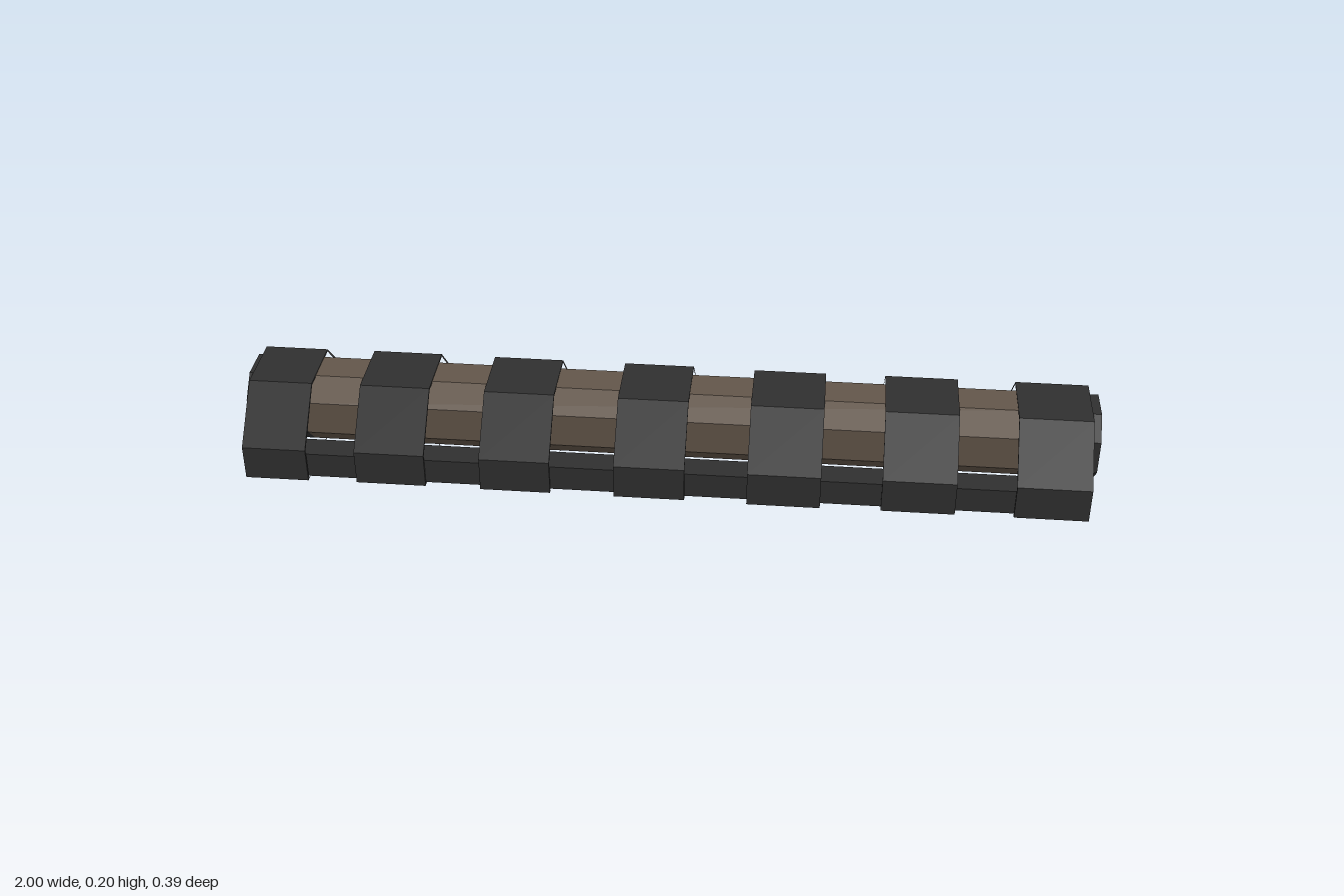
import * as THREE from 'three';

const dark = new THREE.MeshStandardMaterial({ name: 'darkMetal', color: 0x303030 });
const brown = new THREE.MeshStandardMaterial({ name: 'brownCore', color: 0x63564a });

// Sweep a [z, y] profile along x, from x0 to x1
const toPoints = (profile) => profile.map(([z, y]) => new THREE.Vector2(-z, y));
function sweep(name, profile, hole, x0, x1, material) {
  const shape = new THREE.Shape(toPoints(profile));
  if (hole) shape.holes.push(new THREE.Path(toPoints(hole)));
  const geometry = new THREE.ExtrudeGeometry(shape, { depth: x1 - x0, bevelEnabled: false });
  geometry.rotateY(Math.PI / 2).translate(x0, 0, 0);
  const mesh = new THREE.Mesh(geometry, material);
  mesh.name = name;
  return mesh;
}

// Mirror half a profile across z = 0
const mirrored = (half) => [...half, ...half.map(([z, y]) => [-z, y]).reverse()];

export function createModel() {
  const group = new THREE.Group();
  group.name = 'bandedRod';

  // Eight-sided core with dark end caps
  const octagon = mirrored([[0.042, 0.018], [0.0895, 0.066], [0.0895, 0.149], [0.042, 0.197]])
    .map(([z, y]) => [z - 0.002, y]);
  group.add(sweep('core', octagon, null, -0.86, 0.84, brown));
  group.add(sweep('rightEndCap', octagon, null, -1, -0.86, dark));
  group.add(sweep('leftEndCap', octagon, null, 0.84, 1, dark));

  // Square rails along the foot of each side
  for (const [name, z] of [['frontRail', 0.1485], ['backRail', -0.1515]]) {
    const rail = new THREE.Mesh(new THREE.BoxGeometry(1.96, 0.062, 0.063), dark);
    rail.position.set(-0.005, 0.036, z);
    rail.name = name;
    group.add(rail);
  }

  // Thin hollow bands wrapped around core and rails
  const outer = mirrored([[0.191, 0], [0.191, 0.084], [0.077, 0.199]]);
  const inner = mirrored([[0.185, 0.004], [0.185, 0.081], [0.075, 0.194]]);
  const bands = [
    [-0.99, -0.84, 0.001], [-0.725, -0.56, -0.002], [-0.43, -0.265, -0.001], [-0.115, 0.05, -0.001],
    [0.195, 0.365, 0.002], [0.505, 0.675, -0.001], [0.81, 0.98, -0.002],
  ];
  bands.forEach(([x0, x1, shift], i) => {
    const band = sweep('band' + (i + 1), outer, inner, x0, x1, dark);
    band.position.z = shift;
    group.add(band);
  });

  return group;
}
